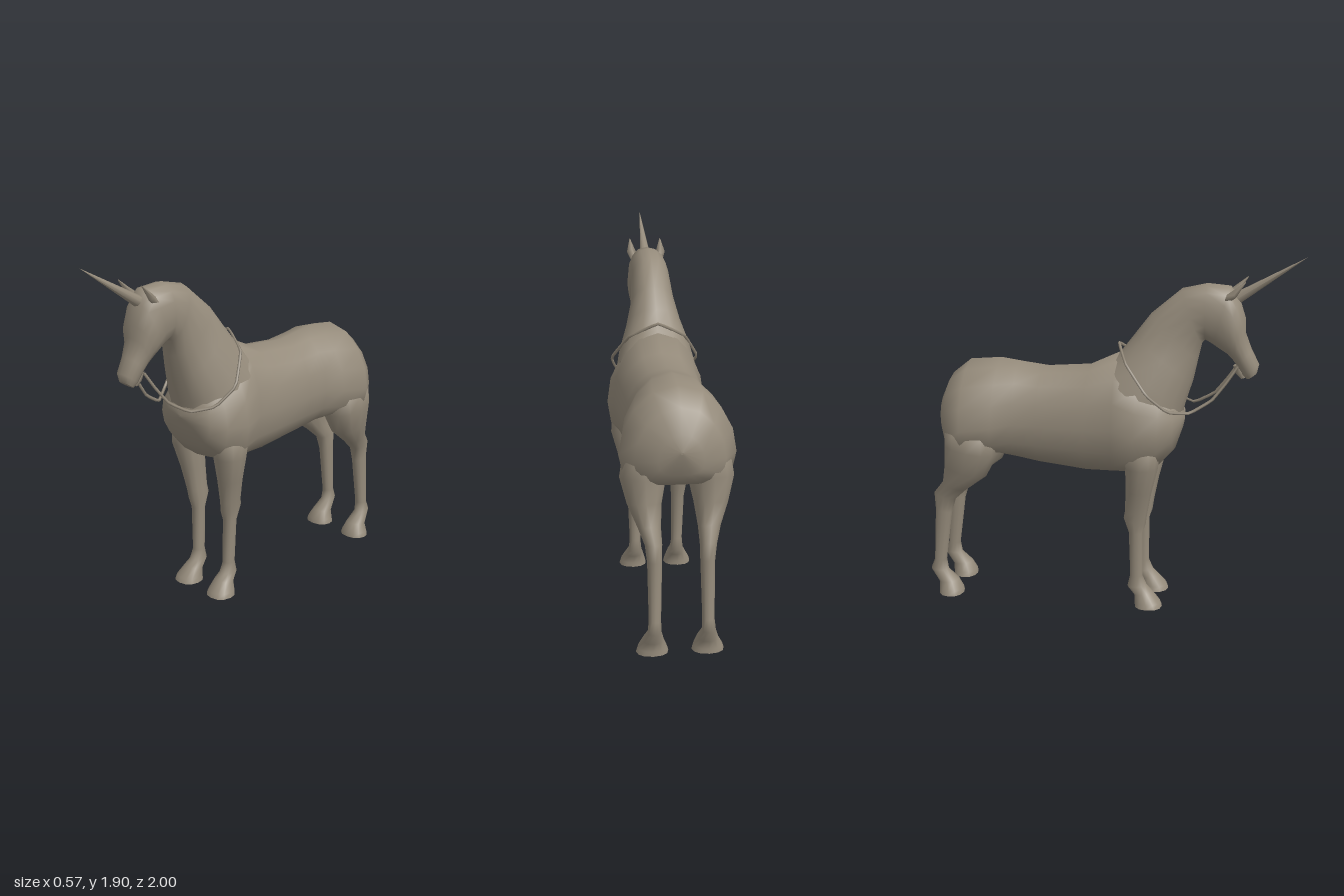
import * as THREE from 'three';

const coat = new THREE.MeshStandardMaterial({ color: 0x958b7b });
coat.name = 'taupe';

// Skin over cross-sections. Each section: [z1, y1, z2, y2, halfWidth, x, sag]
// where (z1,y1) and (z2,y2) are the two ends of the section in the side plane
// and sag lowers its widest point.
function loft(name, sections, sides = 16, power = 0.9) {
  const pos = [], idx = [], mids = [];
  const bend = (v) => Math.sign(v) * Math.pow(Math.abs(v), power);
  const addRing = ([z1, y1, z2, y2, w, x = 0, sag = 0]) => {
    for (let k = 0; k < sides; k++) {
      const a = (k / sides) * Math.PI * 2;
      const c = bend(Math.cos(a)), s = bend(Math.sin(a));
      pos.push(x + s * w, (y1 + y2) / 2 + (c * (y1 - y2)) / 2 - sag * s * s, (z1 + z2) / 2 + (c * (z1 - z2)) / 2);
    }
  };
  sections.forEach((s) => {
    addRing(s);
    mids.push([(s[0] + s[2]) / 2, (s[1] + s[3]) / 2]);
  });
  // Find which way the rings turn relative to the direction of travel
  const [z1, y1, z2, y2] = sections[0];
  const turn = (z1 - z2) * (mids[1][1] - mids[0][1]) - (y1 - y2) * (mids[1][0] - mids[0][0]);
  const tri = (a, b, c) => (turn > 0 ? idx.push(a, b, c) : idx.push(a, c, b));
  for (let i = 0; i < sections.length - 1; i++) {
    for (let k = 0; k < sides; k++) {
      const a = i * sides + k, b = i * sides + ((k + 1) % sides);
      tri(a, b, a + sides);
      tri(b, b + sides, a + sides);
    }
  }
  // End caps with their own vertices, so that the rim stays crisp
  [0, sections.length - 1].forEach((i) => {
    const start = pos.length / 3;
    addRing(sections[i]);
    pos.push(sections[i][5] || 0, mids[i][1], mids[i][0]);
    for (let k = 0; k < sides; k++) {
      const a = start + k, b = start + ((k + 1) % sides), c = start + sides;
      i === 0 ? tri(a, c, b) : tri(a, b, c);
    }
  });
  const geo = new THREE.BufferGeometry();
  geo.setAttribute('position', new THREE.Float32BufferAttribute(pos, 3));
  geo.setIndex(idx);
  geo.computeVertexNormals();
  const mesh = new THREE.Mesh(geo, coat);
  mesh.name = name;
  return mesh;
}

const torso = [
  [0.392, 1.035, 0.392, 1.025, 0.008],
  [0.385, 1.08, 0.378, 0.97, 0.11],
  [0.352, 1.15, 0.345, 0.87, 0.185],
  [0.28, 1.25, 0.27, 0.79, 0.235, 0, 0.03],
  [0.16, 1.33, 0.15, 0.75, 0.265, 0, 0.06],
  [0.04, 1.38, 0.03, 0.74, 0.24, 0, 0.05],
  [-0.11, 1.31, -0.12, 0.735, 0.228, 0, 0.02],
  [-0.36, 1.29, -0.38, 0.765, 0.222, 0, 0.02],
  [-0.50, 1.31, -0.50, 0.79, 0.22, 0, 0.04],
  [-0.60, 1.325, -0.62, 0.82, 0.258, 0, 0.08],
  [-0.77, 1.31, -0.77, 0.82, 0.285, 0, 0.09],
  [-0.87, 1.23, -0.87, 0.85, 0.22, 0, 0.07],
  [-0.925, 1.11, -0.915, 0.91, 0.11, 0, 0.03],
  [-0.938, 1.03, -0.938, 1.02, 0.008],
];

// Neck rising from the withers, turning over the poll and down to the muzzle
const neckAndHead = [
  [-0.04, 1.31, 0.37, 0.99, 0.215],
  [0.05, 1.385, 0.392, 1.11, 0.192],
  [0.13, 1.49, 0.435, 1.25, 0.148],
  [0.21, 1.595, 0.46, 1.37, 0.118],
  [0.37, 1.73, 0.478, 1.45, 0.105],
  [0.50, 1.76, 0.495, 1.465, 0.104],
  [0.62, 1.75, 0.535, 1.44, 0.108],
  [0.668, 1.68, 0.575, 1.415, 0.109],
  [0.70, 1.58, 0.61, 1.395, 0.10],
  [0.70, 1.51, 0.635, 1.37, 0.082],
  [0.735, 1.42, 0.66, 1.335, 0.066],
  [0.775, 1.345, 0.69, 1.285, 0.057],
  [0.765, 1.30, 0.715, 1.265, 0.042],
];

const chin = [
  [0.68, 1.35, 0.64, 1.33, 0.035],
  [0.71, 1.31, 0.655, 1.29, 0.036],
  [0.71, 1.275, 0.68, 1.265, 0.024],
];

const foreLeg = [
  [0.25, 0.98, 0.09, 0.98, 0.055, 0.15],
  [0.28, 0.88, 0.08, 0.88, 0.08, 0.16],
  [0.275, 0.80, 0.10, 0.80, 0.084, 0.16],
  [0.24, 0.66, 0.10, 0.66, 0.062, 0.143],
  [0.215, 0.53, 0.095, 0.54, 0.046, 0.13],
  [0.207, 0.47, 0.087, 0.50, 0.044, 0.125],
  [0.19, 0.42, 0.115, 0.42, 0.036, 0.122],
  [0.19, 0.17, 0.123, 0.17, 0.03, 0.118],
  [0.215, 0.115, 0.108, 0.105, 0.036, 0.118],
  [0.245, 0.08, 0.145, 0.065, 0.05, 0.12],
  [0.29, 0.025, 0.15, 0.025, 0.069, 0.126],
  [0.30, 0.00, 0.15, 0.00, 0.076, 0.126],
];

const hindLeg = [
  [-0.64, 1.02, -0.85, 1.04, 0.075, 0.14],
  [-0.59, 0.92, -0.885, 0.95, 0.105, 0.162],
  [-0.59, 0.83, -0.885, 0.88, 0.115, 0.165],
  [-0.66, 0.70, -0.89, 0.76, 0.085, 0.162],
  [-0.78, 0.61, -0.91, 0.65, 0.056, 0.145],
  [-0.845, 0.55, -0.965, 0.58, 0.042, 0.132],
  [-0.87, 0.47, -0.962, 0.49, 0.036, 0.128],
  [-0.91, 0.19, -0.978, 0.19, 0.03, 0.13],
  [-0.90, 0.13, -1.00, 0.135, 0.034, 0.132],
  [-0.845, 0.075, -0.952, 0.065, 0.052, 0.134],
  [-0.82, 0.025, -0.95, 0.025, 0.073, 0.137],
  [-0.815, 0.00, -0.95, 0.00, 0.08, 0.137],
];

const ear = [
  [0.59, 1.705, 0.605, 1.67, 0.022, 0.07],
  [0.637, 1.74, 0.65, 1.70, 0.026, 0.082],
  [0.70, 1.788, 0.70, 1.78, 0.003, 0.086],
];

const mirror = (sections) => sections.map(([a, b, c, d, w, x]) => [a, b, c, d, w, -x]);

export function createModel() {
  const model = new THREE.Group();
  model.name = 'hornedHorse';
  model.add(loft('torso', torso), loft('neckAndHead', neckAndHead), loft('chin', chin, 8));

  // Paired parts
  const pairs = { FrontLeg: foreLeg, HindLeg: hindLeg, Ear: ear };
  for (const [part, sections] of Object.entries(pairs)) {
    const sides = part === 'Ear' ? 4 : 12;
    model.add(loft('left' + part, sections, sides), loft('right' + part, mirror(sections), sides));
  }

  // Horn, leaning forward from the forehead
  const base = new THREE.Vector3(0, 1.66, 0.61), tip = new THREE.Vector3(0, 1.905, 1.0);
  const axis = tip.clone().sub(base);
  const horn = new THREE.Mesh(new THREE.ConeGeometry(0.034, axis.length(), 8), coat);
  horn.name = 'horn';
  horn.position.copy(base).add(tip).multiplyScalar(0.5);
  horn.quaternion.setFromUnitVectors(new THREE.Vector3(0, 1, 0), axis.normalize());
  model.add(horn);

  // Reins hanging from the mouth and looping over the withers
  const half = [
    [0.05, 1.34, 0.67], [0.065, 1.25, 0.61], [0.085, 1.16, 0.54], [0.118, 1.095, 0.43],
    [0.195, 1.115, 0.325], [0.235, 1.21, 0.22], [0.15, 1.35, 0.1],
  ];
  const points = [...half, [0, 1.43, 0.04], ...half.map(([x, y, z]) => [-x, y, z]).reverse()];
  const path = new THREE.CatmullRomCurve3(points.map((p) => new THREE.Vector3(...p)), false, 'catmullrom', 0.1);
  const reins = new THREE.Mesh(new THREE.TubeGeometry(path, 56, 0.008, 4), coat);
  reins.name = 'reins';
  model.add(reins);

  return model;
}
